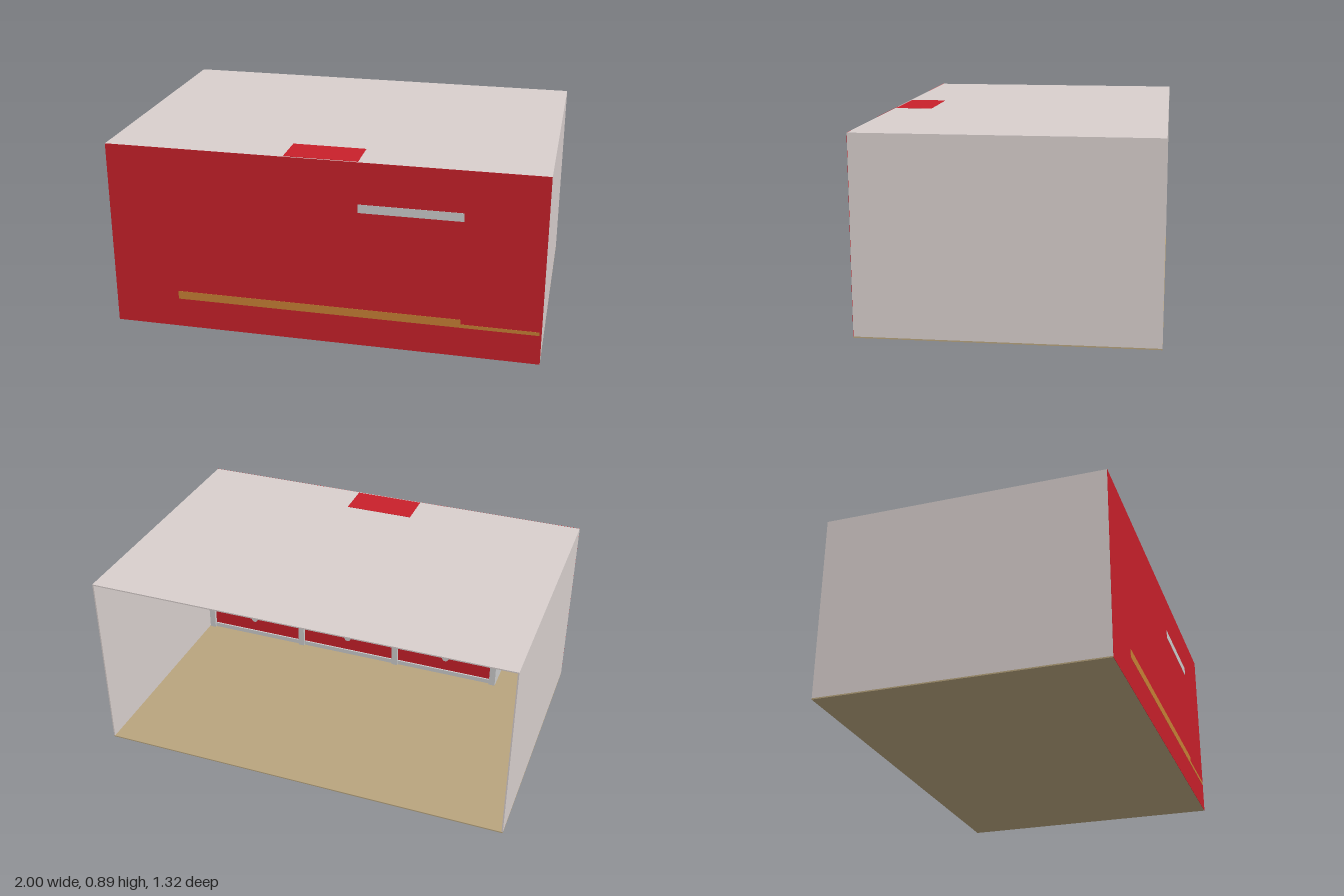
import * as THREE from 'three';

const mat = (color) => new THREE.MeshStandardMaterial({ color });

export function createModel() {
  const room = new THREE.Group();
  room.name = 'kitchenRoom';
  const red = mat(0xc8202a), wall = mat(0xd8cfcd), floorTan = mat(0xb8a47e);
  const wood = mat(0xc87f35), grey = mat(0xcccccc), steel = mat(0x808488), black = mat(0x222222);

  // Box given by its lower and upper limits on each axis
  function box(name, m, x0, x1, y0, y1, z0, z1, parent = room) {
    const mesh = new THREE.Mesh(new THREE.BoxGeometry(x1 - x0, y1 - y0, z1 - z0), m);
    mesh.position.set((x0 + x1) / 2, (y0 + y1) / 2, (z0 + z1) / 2);
    mesh.name = name;
    parent.add(mesh);
    return mesh;
  }

  // Room shell, open at the back
  const t = 0.006, H = 0.89, D = 0.66;
  box('floor', floorTan, -1, 1, 0, t, -D, D);
  box('ceiling', wall, -1, 1, H - t, H, -D, D);
  box('frontWall', red, -1 + t, 1 - t, t, H - t, D - t, D);
  box('frontWallFace', red, -1, 1, 0, H, D, D + 0.001);
  for (const s of [-1, 1]) {
    const a = s * 1, b = s * (1 - t);
    box(s > 0 ? 'leftWall' : 'rightWall', wall, Math.min(a, b), Math.max(a, b), t, H - t, -D, D);
  }

  // Worktop, passing through the front wall
  const top = 0.183, under = 0.143, back = 0.41, out = D + 0.002;
  box('worktop', wood, -0.69, 0.64, under, top, back, out);
  box('worktopEnd', wood, 0.64, 0.99, under, top, back, D - t);
  box('worktopEdge', wood, 0.64, 0.99, 0.143, 0.16, D - t, out);

  // Base units: posts, plinth rails, red doors with round knobs
  const bay = 0.56, w = 0.032;
  for (let i = 0; i < 4; i++) {
    const c = -0.69 + w / 2 + i * (1.68 - w) / 3;
    box('post', grey, c - w / 2, c + w / 2, t, under, back + 0.008, back + 0.045);
  }
  for (let i = 0; i < 3; i++) {
    const x0 = -0.69 + i * bay, x1 = x0 + bay, c = (x0 + x1) / 2;
    box('bottomRail', grey, x0 + 0.01, x1 - 0.01, t, 0.03, back + 0.018, back + 0.04);
    box('cabinetDoor', red, x0 + 0.01, x1 - 0.01, 0.03, under, back + 0.026, back + 0.04);
    const knob = new THREE.Mesh(new THREE.CylinderGeometry(0.018, 0.018, 0.016, 20), grey);
    knob.rotation.x = Math.PI / 2;
    knob.position.set(c, 0.113, back + 0.019);
    knob.name = 'knob';
    room.add(knob);
  }
  for (const [x0, x1] of [[-0.69, -0.675], [0.975, 0.99]])
    box('baseSide', grey, x0, x1, t, under, back + 0.04, D - t);

  // Hob with crossed pan support
  const hob = new THREE.Group();
  hob.name = 'hob';
  hob.position.set(0.015, top, 0.51);
  room.add(hob);
  box('hobPlate', steel, -0.095, 0.095, 0, 0.007, -0.067, 0.067, hob);
  for (const s of [-1, 1]) {
    const bar = box('panSupport', black, -0.055, 0.055, 0.007, 0.013, -0.004, 0.004, hob);
    bar.rotation.y = s * 0.62;
  }
  const burner = new THREE.Mesh(new THREE.CylinderGeometry(0.018, 0.018, 0.004, 20), black);
  burner.position.y = 0.009;
  burner.name = 'burner';
  hob.add(burner);

  // Extractor chimney, tall cupboard and the shelf between them
  box('extractorChimney', red, -0.167, 0.17, 0.5, H + 0.001, 0.48, D - t);
  box('cupboard', grey, 0.64, 0.99, top, 0.695, 0.51, D - t);
  box('shelf', grey, 0.17, 0.64, 0.655, 0.695, 0.51, out);

  return room;
}
